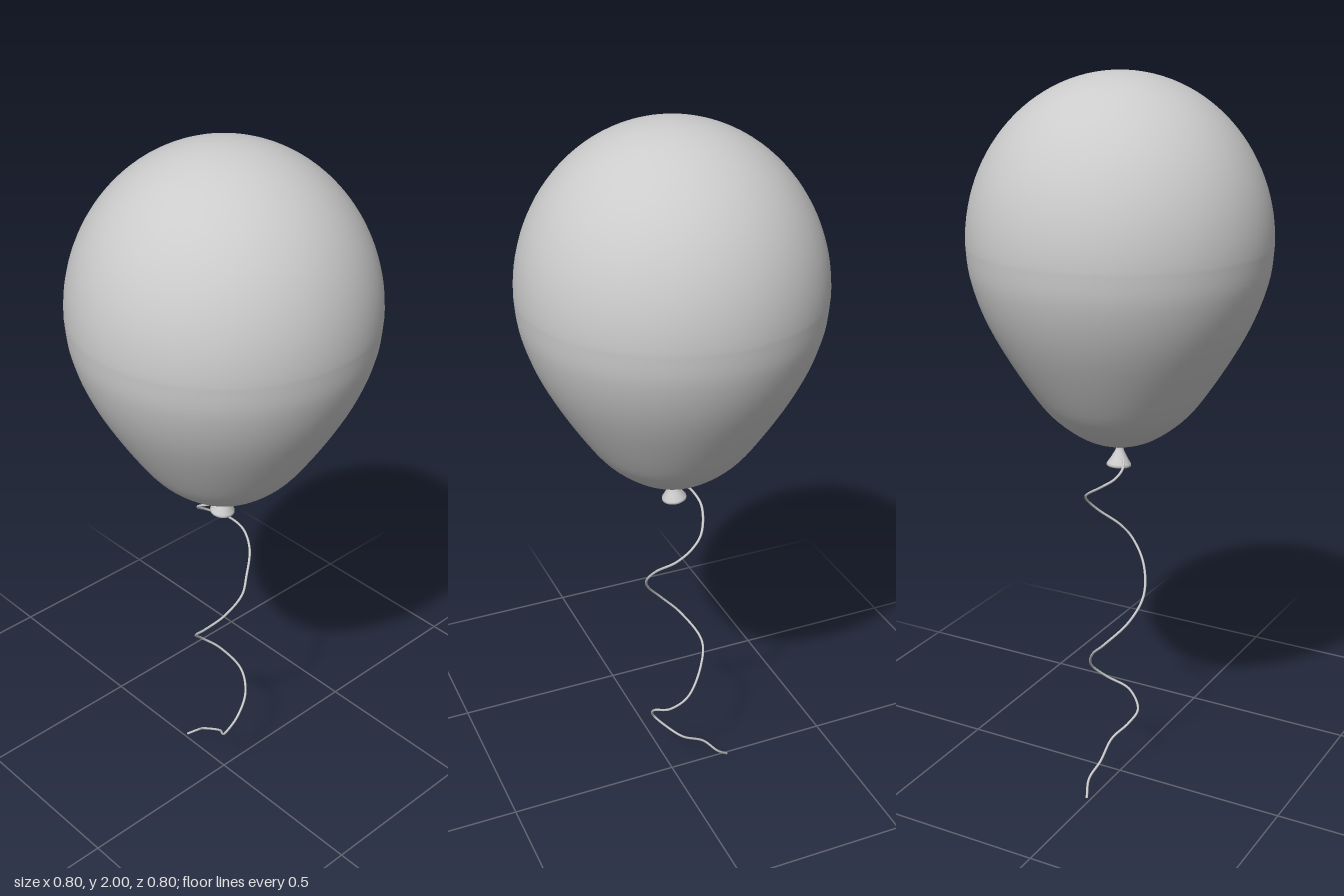
import * as THREE from 'three';

const grey = new THREE.MeshStandardMaterial({ color: 0xcccccc });
const greyDouble = new THREE.MeshStandardMaterial({ color: 0xcccccc, side: THREE.DoubleSide });

function part(name, geometry, material = grey) {
  const mesh = new THREE.Mesh(geometry, material);
  mesh.name = name;
  return mesh;
}

// Teardrop: rounded nose and tapering flank below, half ellipse above
function balloonGeometry() {
  const lower = new THREE.SplineCurve([
    [0, 1.015], [0.06, 1.024], [0.12, 1.052], [0.19, 1.11], [0.25, 1.19],
    [0.32, 1.305], [0.365, 1.4], [0.392, 1.49], [0.4, 1.57],
  ].map(([r, y]) => new THREE.Vector2(r, y))).getPoints(40);
  lower[0].x = 0;
  const upper = [];
  for (let i = 1; i <= 28; i++) {
    const a = (i / 28) * Math.PI / 2;
    upper.push(new THREE.Vector2(i === 28 ? 0 : 0.4 * Math.cos(a), 1.57 + 0.43 * Math.sin(a)));
  }
  return new THREE.LatheGeometry([...lower, ...upper], 72);
}

// Hollow flared neck with a rolled lip, measured down from the tie
function knotGeometry() {
  const profile = [
    [0, -0.025], [0.012, -0.04], [0.024, -0.056], [0.03, -0.06], [0.034, -0.057],
    [0.033, -0.051], [0.022, -0.034], [0.012, -0.015], [0.008, 0], [0.014, 0.012],
  ].map(([r, y]) => new THREE.Vector2(r, y));
  return new THREE.LatheGeometry(profile, 32);
}

// Thin curling string from the knot to the ground
function stringGeometry() {
  const path = new THREE.CatmullRomCurve3([
    [0, 0.985, 0], [-0.03, 0.975, 0.028], [-0.06, 0.96, 0.037], [-0.078, 0.94, 0.025],
    [-0.085, 0.915, -0.01], [-0.055, 0.87, -0.075], [-0.02, 0.84, -0.093], [0.02, 0.8, -0.08],
    [0.06, 0.75, -0.03], [0.075, 0.71, 0], [0.055, 0.65, 0.045], [0, 0.58, 0.075],
    [-0.055, 0.52, 0.06], [-0.095, 0.45, 0], [-0.07, 0.4, -0.05], [-0.015, 0.33, -0.085],
    [0.03, 0.28, -0.06], [0.058, 0.24, 0], [0.045, 0.19, 0.035], [0.015, 0.155, 0.02],
    [-0.03, 0.12, -0.01], [-0.1, 0.08, -0.01], [-0.14, 0.04, -0.025], [-0.18, 0.003, -0.01],
  ].map((p) => new THREE.Vector3(...p)));
  return new THREE.TubeGeometry(path, 240, 0.0035, 8);
}

export function createModel() {
  const model = new THREE.Group();
  model.name = 'balloonOnString';

  model.add(part('balloon', balloonGeometry()));

  const knot = part('knot', knotGeometry(), greyDouble);
  knot.position.y = 1.012;
  knot.rotation.z = -0.12;
  model.add(knot);

  // Wrap of string round the neck
  const tie = part('tie', new THREE.TorusGeometry(0.009, 0.0035, 8, 24));
  tie.rotation.x = Math.PI / 2;
  tie.position.y = 1.008;
  model.add(tie);

  model.add(part('string', stringGeometry()));
  return model;
}
